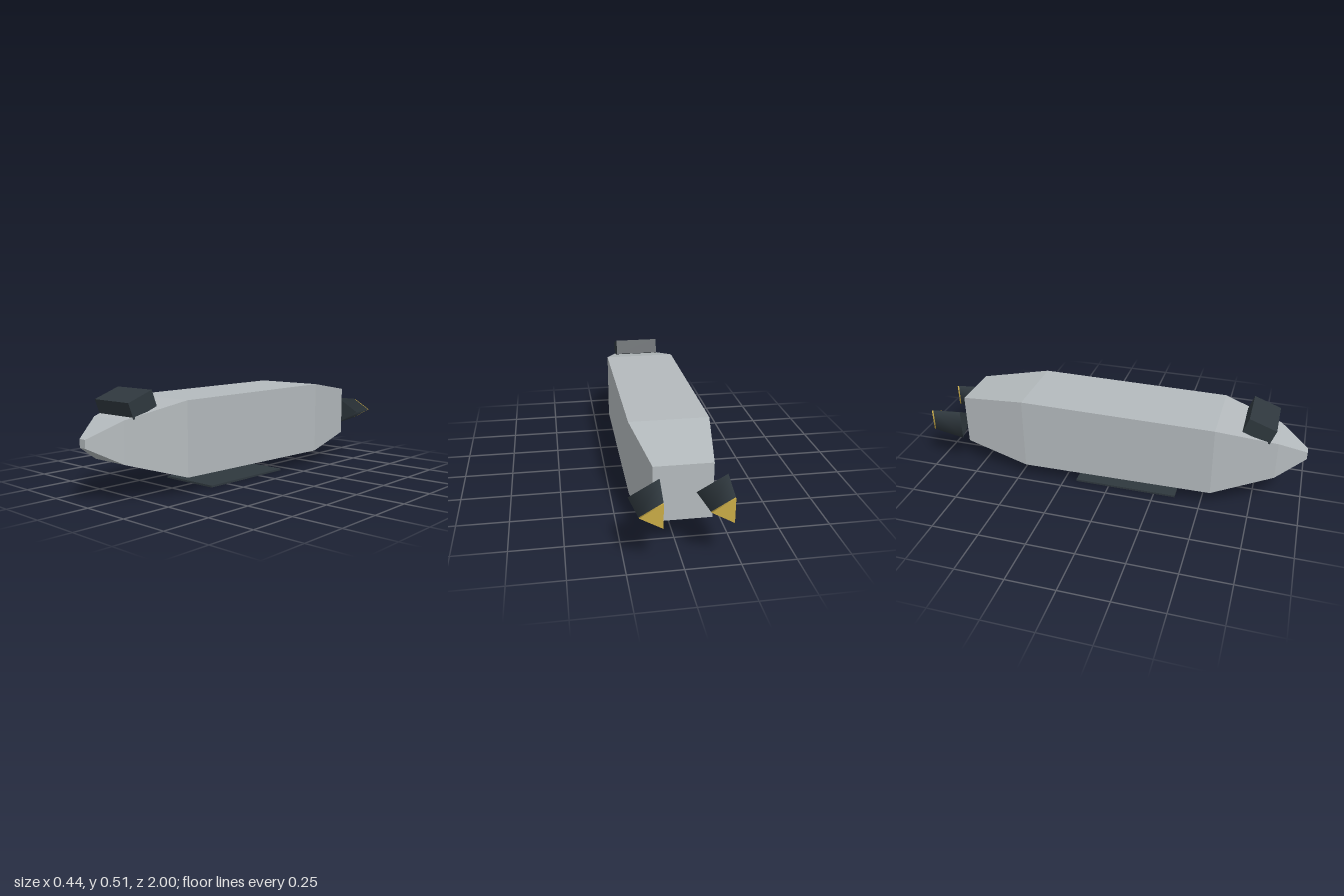
import * as THREE from 'three';

const CX = -0.024; // centre line of the craft

const hullGrey = new THREE.MeshStandardMaterial({ color: 0xb4babd });
hullGrey.name = 'hullGrey';
const darkSlate = new THREE.MeshStandardMaterial({ color: 0x2f383e });
darkSlate.name = 'darkSlate';
const glowYellow = new THREE.MeshStandardMaterial({ color: 0xc8aa46 });
glowYellow.name = 'glowYellow';

function add(parent, name, geometry, material, x, y, z) {
  const mesh = new THREE.Mesh(geometry, material);
  mesh.name = name;
  mesh.position.set(x, y, z);
  parent.add(mesh);
  return mesh;
}

// Flat-faced loft through rectangles: [z, half width, bottom, top], nose first
function loftRectangles(sections) {
  const rings = sections.map(([z, w, b, t]) => [[w, b, z], [w, t, z], [-w, t, z], [-w, b, z]]);
  const pos = [];
  const quad = (a, b, c, d) => pos.push(...a, ...b, ...c, ...a, ...c, ...d);
  for (let i = 0; i < rings.length - 1; i++) {
    for (let k = 0; k < 4; k++) {
      const n = (k + 1) % 4;
      quad(rings[i][k], rings[i + 1][k], rings[i + 1][n], rings[i][n]);
    }
  }
  quad(...rings[0]);
  quad(...[...rings[rings.length - 1]].reverse());
  const g = new THREE.BufferGeometry();
  g.setAttribute('position', new THREE.Float32BufferAttribute(pos, 3));
  g.computeVertexNormals();
  return g;
}

// Three-sided prism along z, narrow end to the back, one corner towards +x
function triPrism(rBack, rFront, length) {
  return new THREE.CylinderGeometry(rBack, rFront, length, 3, 1, false, Math.PI / 2).rotateX(-Math.PI / 2);
}

export function createModel() {
  const model = new THREE.Group();
  model.name = 'spacecraft';

  // Hull
  add(model, 'hull', loftRectangles([
    [1, 0.02, 0.265, 0.305],
    [0.855, 0.108, 0.183, 0.383],
    [0.55, 0.194, 0.087, 0.454],
    [-0.46, 0.194, 0.077, 0.463],
    [-0.82, 0.135, 0.137, 0.407],
  ]), hullGrey, CX, 0, 0);

  // Tilted cockpit block on the nose
  const cockpit = add(model, 'cockpit', new THREE.BoxGeometry(0.245, 0.082, 0.145), darkSlate, CX, 0.446, 0.757);
  cockpit.rotation.x = 0.35;

  // Plate below the belly
  add(model, 'bellyPlate', new THREE.BoxGeometry(0.328, 0.01, 0.546), darkSlate, CX, 0.005, 0.09);

  // Pair of engines with glowing ends
  for (const [side, name] of [[-1, 'rightEngine'], [1, 'leftEngine']]) {
    const engine = new THREE.Group();
    engine.name = name;
    engine.position.set(CX + side * 0.151, 0.27, 0);
    add(engine, 'nozzle', triPrism(0.069, 0.0925, 0.168), darkSlate, 0, 0, -0.907);
    add(engine, 'exhaustGlow', triPrism(0.068, 0.068, 0.009), glowYellow, 0, 0, -0.9955);
    model.add(engine);
  }
  return model;
}
